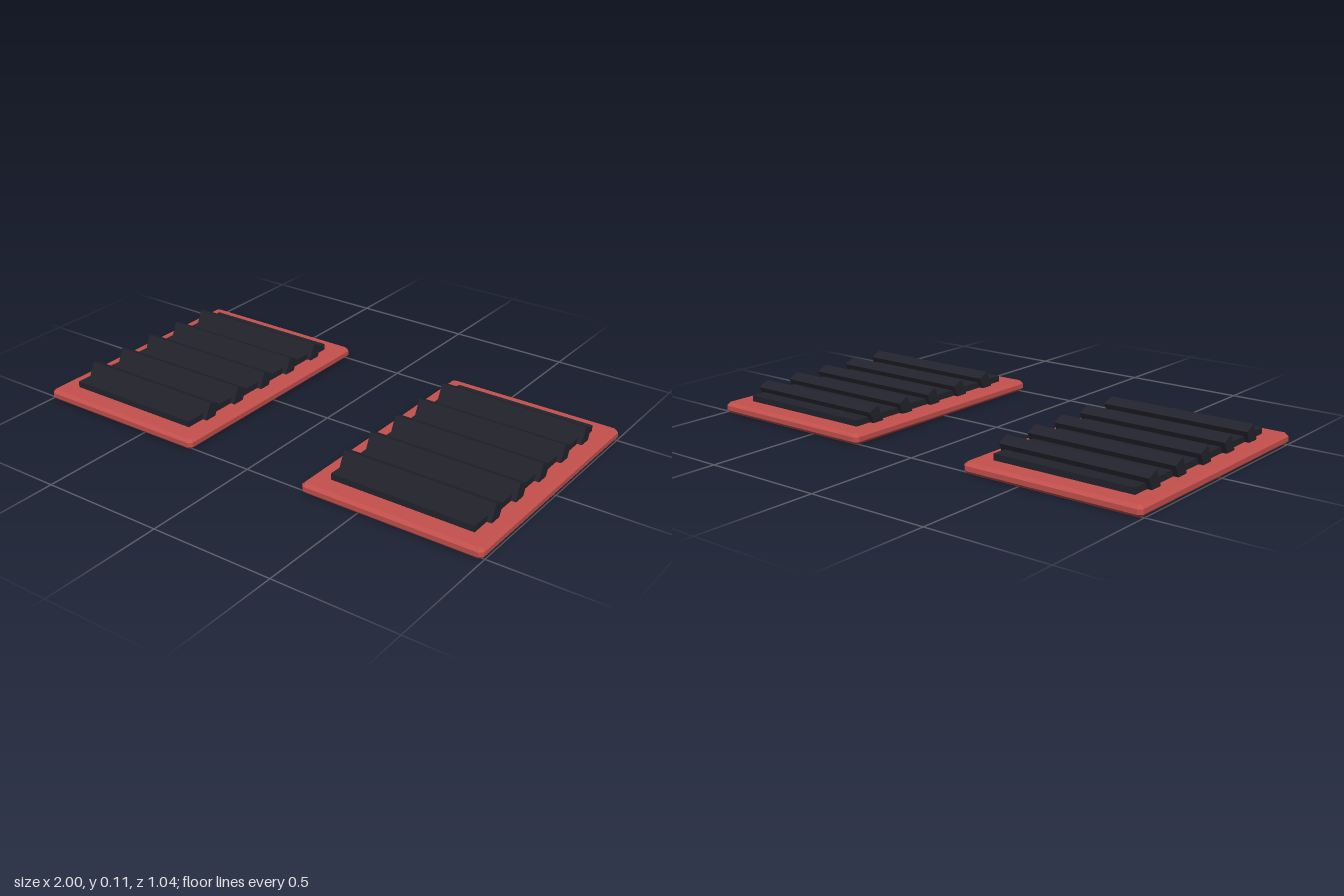
import * as THREE from 'three';

const red = new THREE.MeshStandardMaterial({ name: 'red frame', color: 0xc4504d });
const dark = new THREE.MeshStandardMaterial({ name: 'dark slats', color: 0x23232d });

// Flat plate with every edge chamfered by c, standing on y = 0
function chamferedPlate(w, h, d, c) {
  const x = w / 2 - c, z = d / 2 - c, k = c * 0.6;
  const shape = new THREE.Shape([
    [x, -z + k], [x, z - k], [x - k, z], [-x + k, z],
    [-x, z - k], [-x, -z + k], [-x + k, -z], [x - k, -z],
  ].map(([px, pz]) => new THREE.Vector2(px, pz)));
  const geo = new THREE.ExtrudeGeometry(shape, {
    depth: h - 2 * c, bevelThickness: c, bevelSize: c, bevelSegments: 1,
  });
  geo.rotateX(-Math.PI / 2);
  geo.translate(0, c, 0);
  return geo;
}

function addPart(parent, name, geometry, material) {
  const mesh = new THREE.Mesh(geometry, material);
  mesh.name = name;
  parent.add(mesh);
  return mesh;
}

// One louvred vent: frame, inner panel and five tilted slats
function createVent(name) {
  const vent = new THREE.Group();
  vent.name = name;
  addPart(vent, 'frame', chamferedPlate(0.743, 0.043, 1.042, 0.012), red);
  addPart(vent, 'innerPanel', new THREE.BoxGeometry(0.588, 0.04, 0.877), dark).position.y = 0.048;

  const slatGeometry = new THREE.BoxGeometry(0.626, 0.07, 0.051);
  for (let i = -2; i <= 2; i++) {
    const slat = addPart(vent, 'slat', slatGeometry, dark);
    slat.position.set(0, 0.067, i * 0.1675 - 0.012);
    slat.rotation.x = -0.42;
  }
  return vent;
}

export function createModel() {
  const model = new THREE.Group();
  model.name = 'ventPair';
  for (const side of [-1, 1]) {
    const vent = createVent(side > 0 ? 'leftVent' : 'rightVent');
    vent.position.x = side * 0.6285;
    model.add(vent);
  }
  return model;
}
